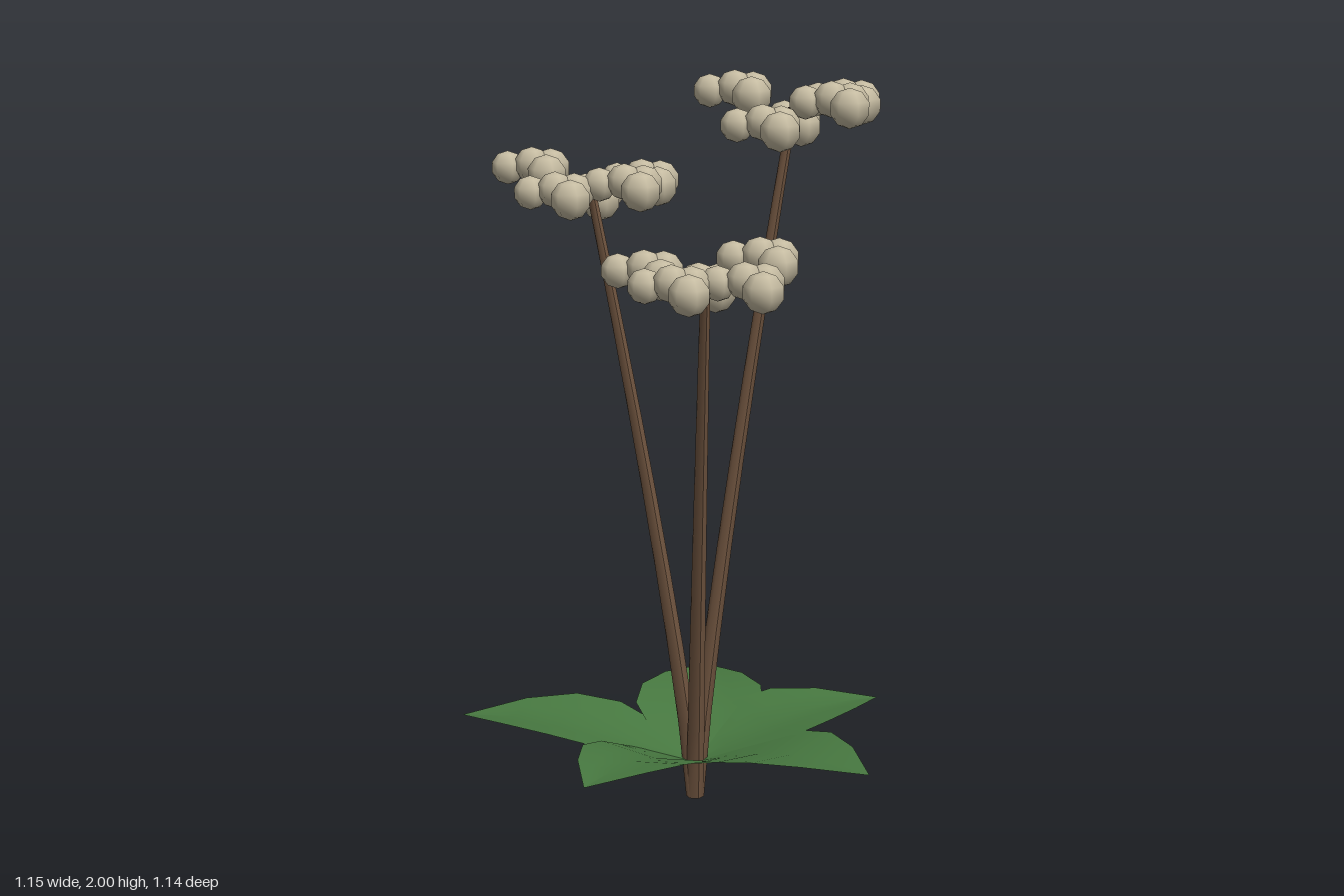
import * as THREE from 'three';

const stemMat = new THREE.MeshStandardMaterial({ color: 0x6f543f });
stemMat.name = 'stem brown';
const leafMat = new THREE.MeshStandardMaterial({ color: 0x477840, side: THREE.DoubleSide });
leafMat.name = 'leaf green';
const budMat = new THREE.MeshStandardMaterial({ color: 0xc6bca2 });
budMat.name = 'flower cream';

const HUB = [-0.017, -0.028];

// Piecewise linear lookup in [position, value] pairs
function sample(pairs, t) {
  for (let i = 1; i < pairs.length; i++) {
    const [a, va] = pairs[i - 1], [b, vb] = pairs[i];
    if (t <= b) return va + (vb - va) * (t - a) / (b - a);
  }
  return pairs[pairs.length - 1][1];
}

// Tapered stem that leans outward in a gentle curve
function makeStem([x, y, z]) {
  const geo = new THREE.CylinderGeometry(0.013, 0.025, y, 6, 8);
  const pos = geo.attributes.position;
  for (let i = 0; i < pos.count; i++) {
    const t = THREE.MathUtils.clamp(pos.getY(i) / y + 0.5, 0, 1);
    const bend = Math.pow(t, 1.2);
    pos.setXYZ(i,
      pos.getX(i) + HUB[0] + (x - HUB[0]) * bend,
      t * y,
      pos.getZ(i) + HUB[1] + (z - HUB[1]) * bend);
  }
  geo.computeVertexNormals();
  const mesh = new THREE.Mesh(geo, stemMat);
  mesh.name = 'stem';
  return mesh;
}

// Broad pointed leaf along +x, folded slightly up from its midrib
const STEPS = [0, 0.17, 0.38, 0.57, 0.77, 1];
const HALF_WIDTH = [[0, 0.02], [0.17, 0.125], [0.38, 0.182], [0.57, 0.172], [0.77, 0.112], [1, 0.003]];
const RIB = [[0, 0.1], [0.17, 0.135], [0.38, 0.175], [0.57, 0.198], [0.77, 0.205], [1, 0.2]];
function makeLeaf(angle, length) {
  const geo = new THREE.PlaneGeometry(1, 1, 4, 5);
  const pos = geo.attributes.position, uv = geo.attributes.uv;
  const size = length / 0.605;
  for (let i = 0; i < pos.count; i++) {
    const s = STEPS[Math.round(uv.getY(i) * 5)];
    const across = (uv.getX(i) * 2 - 1) * sample(HALF_WIDTH, s) * size;
    pos.setXYZ(i, s * length, sample(RIB, s) + Math.abs(across) * 0.12, across);
  }
  geo.computeVertexNormals();
  const leaf = new THREE.Mesh(geo, leafMat);
  leaf.name = 'leaf';
  leaf.position.set(HUB[0], 0, HUB[1]);
  leaf.rotation.y = -THREE.MathUtils.degToRad(angle);
  return leaf;
}

// Flower head: five bunches of four buds in a ring around the stem tip
const BUDS = [ // x, y, z, radius
  [-0.056, 0, -0.053, 0.046],
  [-0.003, 0.01, -0.004, 0.049],
  [0.051, 0, -0.003, 0.053],
  [0.006, -0.008, 0.088, 0.054],
];
const budGeo = new THREE.SphereGeometry(1, 6, 5);
budGeo.rotateY(Math.PI / 6);
function makeHead([x, , z], heights) {
  const head = new THREE.Group();
  head.name = 'flowerHead';
  heights.forEach((h, g) => {
    const a = g * Math.PI * 2 / 5;
    for (const [bx, by, bz, r] of BUDS) {
      const bud = new THREE.Mesh(budGeo, budMat);
      bud.name = 'bud';
      bud.position.set(x + Math.cos(a) * 0.157 + bx, h + by, z + Math.sin(a) * 0.157 + bz);
      bud.scale.setScalar(r);
      head.add(bud);
    }
  });
  return head;
}

export function createModel() {
  const plant = new THREE.Group();
  plant.name = 'floweringPlant';

  // Leaf rosette: direction in degrees, length
  const leaves = [[-5, 0.59], [64, 0.605], [143, 0.57], [213, 0.663], [296, 0.606]];
  for (const [angle, length] of leaves) plant.add(makeLeaf(angle, length));

  // Stem tips and the height of each bunch in their heads
  const flowers = [
    { tip: [-0.226, 1.7, -0.267], heights: [1.7, 1.705, 1.685, 1.735, 1.65] },
    { tip: [0.3, 1.9, -0.094], heights: [1.915, 1.92, 1.86, 1.94, 1.848] },
    { tip: [-0.115, 1.49, 0.275], heights: [1.545, 1.505, 1.5, 1.515, 1.465] },
  ];
  for (const { tip, heights } of flowers) {
    plant.add(makeStem(tip), makeHead(tip, heights));
  }
  return plant;
}
